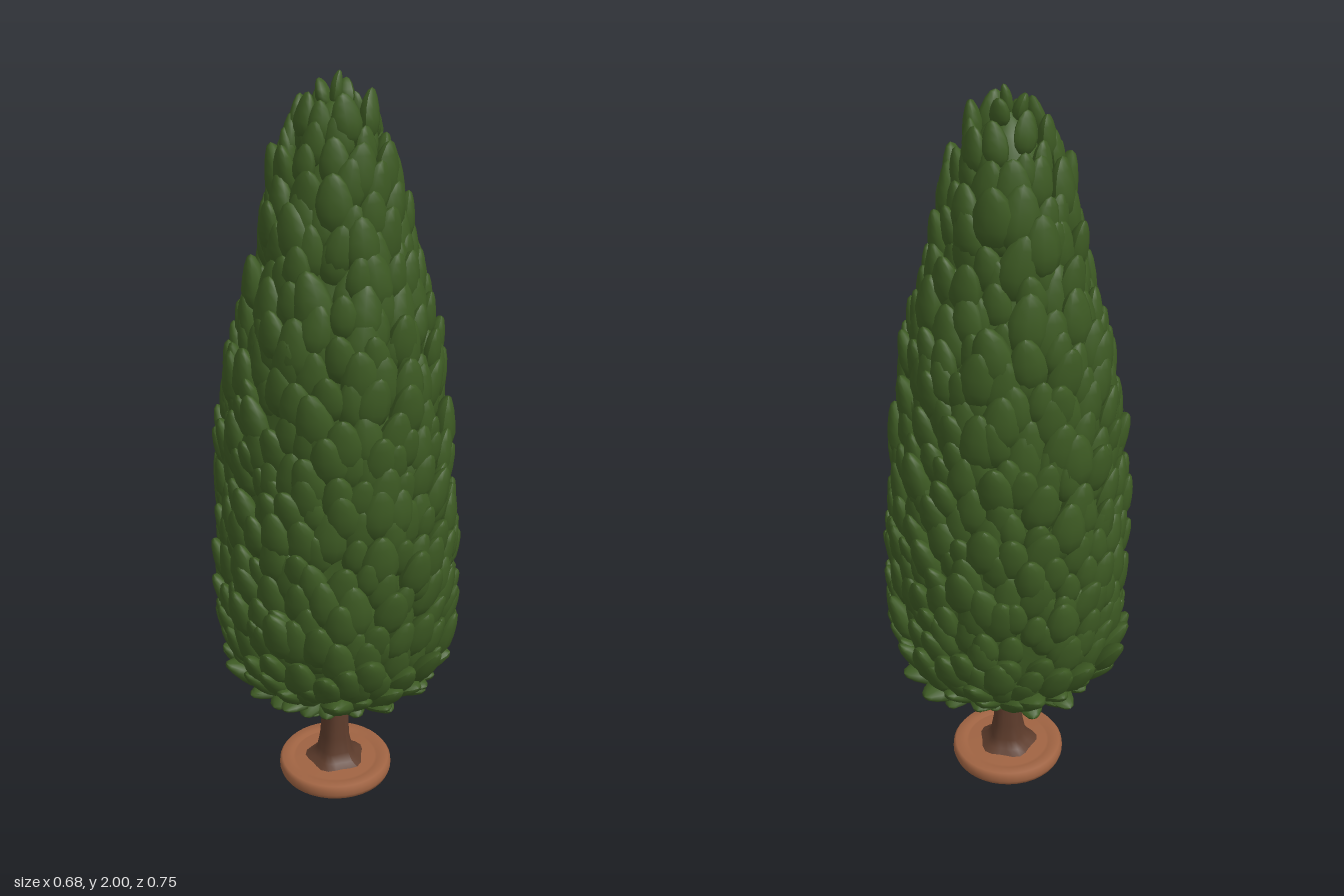
import * as THREE from 'three';
import { mergeGeometries } from 'three/addons/utils/BufferGeometryUtils.js';

// Small seeded random generator
function seeded(seed) {
  return () => {
    seed = (seed * 1664525 + 1013904223) % 4294967296;
    return seed / 4294967296;
  };
}

const lathe = (pts, segments) =>
  new THREE.LatheGeometry(pts.map(([r, y]) => new THREE.Vector2(r, y)), segments);

// One leaf tuft: a flattened egg, narrow at the tip (+y), which curls out towards +z
function tuftGeometry() {
  const geo = new THREE.SphereGeometry(1, 9, 7);
  const p = geo.attributes.position;
  for (let i = 0; i < p.count; i++) {
    const y = p.getY(i);
    const taper = 1 - 0.2 * y;
    p.setXYZ(i, p.getX(i) * taper, y, p.getZ(i) * taper + 0.3 * y * Math.abs(y));
  }
  geo.computeVertexNormals();
  return geo;
}

export function createModel() {
  const leafGreen = new THREE.MeshStandardMaterial({ color: 0x3d5a23 });
  const barkBrown = new THREE.MeshStandardMaterial({ color: 0x5c3b2b });
  const baseBrown = new THREE.MeshStandardMaterial({ color: 0x9f6342 });
  const tree = new THREE.Group();
  tree.name = 'tree';
  const add = (name, geo, mat) => {
    const mesh = new THREE.Mesh(geo, mat);
    mesh.name = name;
    tree.add(mesh);
  };

  // Round base with a softened rim and a shallow groove
  add('base', lathe([[0, 0], [0.146, 0.001], [0.157, 0.006], [0.161, 0.018], [0.16, 0.034],
    [0.153, 0.044], [0.128, 0.044], [0.121, 0.038], [0.115, 0.041], [0, 0.045]], 40), baseBrown);

  // Trunk flaring out at the roots, slightly uneven
  const trunk = lathe([[0.085, 0.04], [0.062, 0.052], [0.049, 0.075], [0.041, 0.12],
    [0.036, 0.2], [0.034, 0.28], [0.036, 0.33], [0.04, 0.42]], 24);
  const tp = trunk.attributes.position;
  for (let i = 0; i < tp.count; i++) {
    const a = Math.atan2(tp.getZ(i), tp.getX(i));
    const k = 1 + 0.07 * Math.sin(a * 5 + tp.getY(i) * 9);
    tp.setX(i, tp.getX(i) * k);
    tp.setZ(i, tp.getZ(i) * k);
  }
  trunk.computeVertexNormals();
  add('trunk', trunk, barkBrown);

  // Outline of the crown, from the underside to the top
  const outline = new THREE.CatmullRomCurve3([
    [0.04, 0.36], [0.14, 0.352], [0.225, 0.368], [0.272, 0.42], [0.299, 0.51], [0.308, 0.65],
    [0.302, 0.83], [0.285, 1.03], [0.262, 1.23], [0.234, 1.4], [0.192, 1.54], [0.156, 1.7],
    [0.112, 1.84], [0.066, 1.935], [0.0, 1.965],
  ].map(([r, y]) => new THREE.Vector3(r, y, 0)));

  // Solid core, set in from the outline
  const core = outline.getSpacedPoints(40).map(v =>
    [Math.max(0, v.x - 0.02), 0.375 + (v.y - 0.352) * 0.97]);
  core[0][0] = 0;
  core[40][0] = 0;
  add('crownCore', lathe(core, 40), leafGreen);

  // Overlapping tufts laid in rings along the outline
  const rand = seeded(11);
  const vary = amount => (rand() - 0.5) * 2 * amount;
  const tuft = tuftGeometry();
  const tufts = [];
  function placeTuft(r, y, angle, lean, w, h, d) {
    const pose = new THREE.Object3D();
    pose.rotation.set(lean, angle, vary(0.18), 'YXZ');
    pose.position.set(Math.sin(angle) * r, y, Math.cos(angle) * r);
    pose.scale.set(w, h, d);
    pose.updateMatrix();
    tufts.push(tuft.clone().applyMatrix4(pose.matrix));
  }
  const rings = 30;
  for (let i = 0; i < rings; i++) {
    const u = 0.06 + 0.875 * i / (rings - 1);
    const count = Math.max(7, Math.round(2 * Math.PI * outline.getPointAt(u).x / 0.07));
    for (let j = 0; j < count; j++) {
      const v = Math.min(0.94, Math.max(0.05, u + vary(0.014)));
      const at = outline.getPointAt(v);
      const dir = outline.getTangentAt(v);
      const angle = (j + (i % 2) * 0.5 + vary(0.3)) / count * Math.PI * 2;
      const lean = Math.atan2(dir.x, dir.y) + 0.24 + vary(0.12);
      const size = (0.85 + rand() * 0.4) * (v > 0.88 ? 0.75 : 1);
      placeTuft(at.x - 0.012 + vary(0.014), at.y, angle, Math.min(lean, 1.75),
        0.042 * size, 0.07 * size, 0.027 * size);
    }
  }

  // Larger tufts reaching out at front and back
  for (const angle of [0, Math.PI]) placeTuft(0.327, 0.5, angle, 0.58, 0.036, 0.075, 0.026);

  // Loose tufts hanging under the crown, the outer ring spreading wider
  for (let j = 0; j < 12; j++) {
    const turn = j / 12 * Math.PI * 2;
    placeTuft(0.125 + vary(0.02), 0.335 + vary(0.012), turn + vary(0.12), 1.75 + vary(0.15),
      0.032, 0.058, 0.017);
    placeTuft(0.215 + vary(0.015), 0.362 + vary(0.008), turn + 0.26 + vary(0.1), 1.4 + vary(0.2),
      0.038, 0.06, 0.02);
  }

  // Small tip
  placeTuft(0.004, 1.96, 0.6, 0.05, 0.017, 0.04, 0.015);
  placeTuft(0.03, 1.945, 3.6, 0.2, 0.026, 0.036, 0.018);
  placeTuft(0.035, 1.94, 1.6, 0.15, 0.026, 0.038, 0.02);
  add('crownTufts', mergeGeometries(tufts), leafGreen);

  return tree;
}
